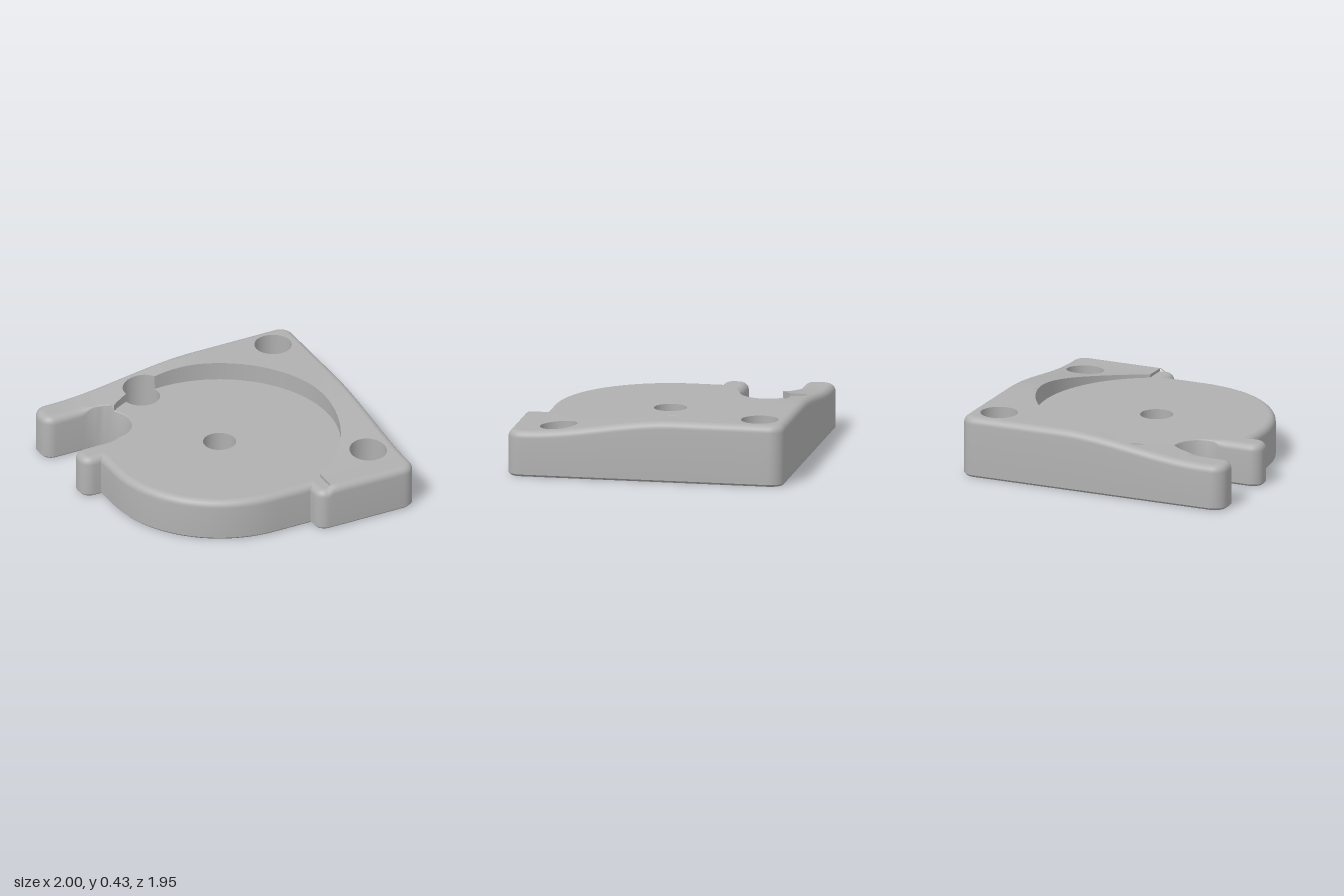
import * as THREE from 'three';
import { toCreasedNormals } from 'three/addons/utils/BufferGeometryUtils.js';

const V = (x, z) => new THREE.Vector2(x, z); // plan points: (x, z)
const rad = THREE.MathUtils.degToRad;
const FLOOR = 0.3, CHAMFER = 0.015, FILLET = 0.05;
const DISC = { x: -0.045, z: 0.015, r: 0.84 };
const BOLTS = [[0.79, -0.78], [0.79, 0.64], [-0.24, -0.78]];
const BORE = 0.13, BOLT = 0.075, SEGS = 72;

// Arc in plan, angles in degrees
function arc(cx, cz, r, a0, a1) {
  const n = Math.max(2, Math.ceil(Math.abs(a1 - a0) / (r > 0.5 ? 2.5 : 10)));
  return Array.from({ length: n + 1 }, (_, i) => {
    const a = rad(a0 + (a1 - a0) * i / n);
    return V(cx + r * Math.cos(a), cz + r * Math.sin(a));
  });
}

// Closed ring round a centre; rOf gives the radius at an angle in degrees
function ring(cx, cz, rOf) {
  return Array.from({ length: SEGS }, (_, i) => {
    const d = i * 360 / SEGS, r = rOf(d);
    return V(cx + r * Math.cos(rad(d)), cz + r * Math.sin(rad(d)));
  });
}
const circle = (cx, cz, r) => ring(cx, cz, () => r);
const hexagon = R => ring(DISC.x, DISC.z,
  d => R * Math.cos(rad(30)) / Math.cos(rad(((d + 30) % 60) - 30)));

// Height of the raised rim, sloping down to the front and to the left
const rimHeight = p => 0.32 + 0.11 * Math.min(
  THREE.MathUtils.smoothstep(p.x, -0.85, 0.25),
  THREE.MathUtils.smoothstep(-p.y, -0.85, 0.22));
const onRim = p => Math.hypot(p.x - DISC.x, p.y - DISC.z) > DISC.r - 0.001 &&
  (p.y < -0.5 || p.x > 0.345);
const lift = (pts, y) => pts.map(p =>
  new THREE.Vector3(p.x, typeof y === 'function' ? y(p) : y, p.y));

// Plan outline, with long edges divided
function outline() {
  const raw = [
    ...arc(0.315, 0.89, 0.08, 90, 180),
    V(0.235, 0.84),
    ...arc(-0.045, 0.015, 0.825, 90, 180),
    V(-0.87, -0.18),
    ...arc(-0.92, -0.26, 0.08, 90, 180),
    ...arc(-0.92, -0.285, 0.08, 180, 270),
    ...arc(-0.65, -0.56, 0.195, 90, -90),
    ...arc(-0.92, -0.835, 0.08, 90, 180),
    ...arc(-0.9, -0.88, 0.1, 180, 270),
    ...arc(0.9, -0.88, 0.1, 270, 360),
    ...arc(0.9, 0.87, 0.1, 0, 90),
    V(0.35, 0.97),
  ];
  const pts = [];
  raw.forEach((p, i) => {
    const q = raw[(i + 1) % raw.length], n = Math.ceil(p.distanceTo(q) / 0.05);
    for (let k = 0; k < n; k++) pts.push(p.clone().lerp(q, k / n));
  });
  return pts;
}

// Move every outline point inward by its own distance
function inset(pts, dist) {
  const n = pts.length;
  const normal = (a, b) => V(b.y - a.y, a.x - b.x).normalize();
  return pts.map((p, i) => {
    const n1 = normal(pts[(i + n - 1) % n], p), n2 = normal(p, pts[(i + 1) % n]);
    const m = n1.clone().add(n2).divideScalar(1 + n1.dot(n2));
    return p.clone().addScaledVector(m, -dist(p));
  });
}

// The top edge is almost sharp inside the round end of the notch
const filletAt = p => Math.abs(p.y + 0.56) < 0.2 && p.x < -0.4
  ? FILLET - 0.042 * THREE.MathUtils.smoothstep(p.x, -0.72, -0.62) : FILLET;

function geometryOf(positions) {
  const g = new THREE.BufferGeometry();
  g.setAttribute('position', new THREE.Float32BufferAttribute(positions, 3));
  return toCreasedNormals(g, 0.6);
}

// Skin between successive rings
function loft(rings, closed = true) {
  const out = [], n = rings[0].length;
  for (let r = 0; r < rings.length - 1; r++) {
    const a = rings[r], b = rings[r + 1];
    for (let i = 0; i < (closed ? n : n - 1); i++) {
      const j = (i + 1) % n;
      for (const v of [a[i], b[i], a[j], a[j], b[i], b[j]]) out.push(v.x, v.y, v.z);
    }
  }
  return geometryOf(out);
}

// Filled plan area with holes, divided finely where it has to follow a slope
function cap(contour, holes, y, up, maxEdge = Infinity) {
  const all = [contour, ...holes].flat(), out = [];
  const add = (a, b, c) => {
    const e = [a.distanceTo(b), b.distanceTo(c), c.distanceTo(a)];
    const k = e.indexOf(Math.max(...e));
    if (e[k] > maxEdge) {
      const [p, q, r] = [[a, b, c], [b, c, a], [c, a, b]][k];
      const m = p.clone().add(q).multiplyScalar(0.5);
      add(p, m, r);
      add(m, q, r);
      return;
    }
    for (const v of lift([a, b, c], y)) out.push(v.x, v.y, v.z);
  };
  for (const [i, j, k] of THREE.ShapeUtils.triangulateShape(contour, holes)) {
    const a = all[i], b = all[j], c = all[k];
    const facesUp = b.clone().sub(a).cross(c.clone().sub(a)) < 0;
    if (facesUp === up) add(a, b, c); else add(a, c, b);
  }
  return geometryOf(out);
}

export function createModel() {
  const group = new THREE.Group();
  const grey = new THREE.MeshStandardMaterial({ color: 0xb0b0b0 });
  grey.name = 'grey';
  const add = (name, geometry) => {
    const mesh = new THREE.Mesh(geometry, grey);
    mesh.name = name;
    group.add(mesh);
  };

  // Side wall with bottom chamfer and rounded top edge
  const edge = outline(), rimFlags = edge.map(onRim);
  const foot = inset(edge, () => CHAMFER), brow = inset(edge, filletAt);
  const wall = [lift(foot, 0), lift(edge, CHAMFER)];
  for (let s = 0; s <= 6; s++) {
    const a = s / 6 * Math.PI / 2;
    const pts = inset(edge, p => filletAt(p) * (1 - Math.cos(a)));
    wall.push(pts.map((p, i) => new THREE.Vector3(p.x,
      (rimFlags[i] ? rimHeight(p) : FLOOR) - filletAt(edge[i]) * (1 - Math.sin(a)), p.y)));
  }
  add('sideWall', loft(wall));

  // Underside and recessed floor
  add('underside', cap(foot.slice(),
    [...BOLTS.map(b => circle(...b, BOLT + CHAMFER)), hexagon(0.225)], 0, false));
  add('recessFloor', cap(brow.slice(),
    [...BOLTS.map(b => circle(...b, BORE)), circle(DISC.x, DISC.z, 0.115)], FLOOR, true));

  // Inner edge of the raised rim, stepping round the bolt hole that cuts it
  const [cx, cz] = BOLTS[2];
  const dx = cx - DISC.x, dz = cz - DISC.z, d = Math.hypot(dx, dz);
  const toBolt = Math.atan2(dz, dx) * 180 / Math.PI;
  const half = Math.acos((d * d + DISC.r ** 2 - BORE ** 2) / (2 * d * DISC.r)) * 180 / Math.PI;
  const away = 180 - Math.acos((d * d + BORE ** 2 - DISC.r ** 2) / (2 * d * BORE)) * 180 / Math.PI;
  const start = Math.acos((0.35 - DISC.x) / DISC.r) * 180 / Math.PI;
  const inner = [
    ...arc(DISC.x, DISC.z, DISC.r, start, toBolt + half),
    ...arc(cx, cz, BORE, toBolt + away, toBolt - away).slice(1, -1),
    ...arc(DISC.x, DISC.z, DISC.r, toBolt - half, -123),
  ];
  const outer = brow.filter((p, i) => rimFlags[i]);
  add('raisedRim', cap([...outer, ...inner],
    BOLTS.slice(0, 2).map(b => circle(...b, BORE)), rimHeight, true, 0.08));
  const step = [outer[outer.length - 1], ...inner];
  add('rimStep', loft([lift(step, FLOOR), lift(step, rimHeight)], false));

  // Counterbored bolt holes
  for (const b of BOLTS) {
    const bore = circle(...b, BORE), hole = circle(...b, BOLT);
    add('boltHole', loft([
      lift(bore, p => onRim(p) ? rimHeight(p) : FLOOR), lift(bore, 0.14),
      lift(hole, 0.14), lift(hole, CHAMFER), lift(circle(...b, BOLT + CHAMFER), 0),
    ]));
  }

  // Centre hole opening into a six-sided pocket below
  const shaft = circle(DISC.x, DISC.z, 0.115);
  add('centreHole', loft([
    lift(shaft, FLOOR), lift(shaft, 0.15), lift(hexagon(0.2), 0.15),
    lift(hexagon(0.2), CHAMFER), lift(hexagon(0.225), 0),
  ]));

  group.children.forEach(m => { m.position.z = 0.005; });
  return group;
}
